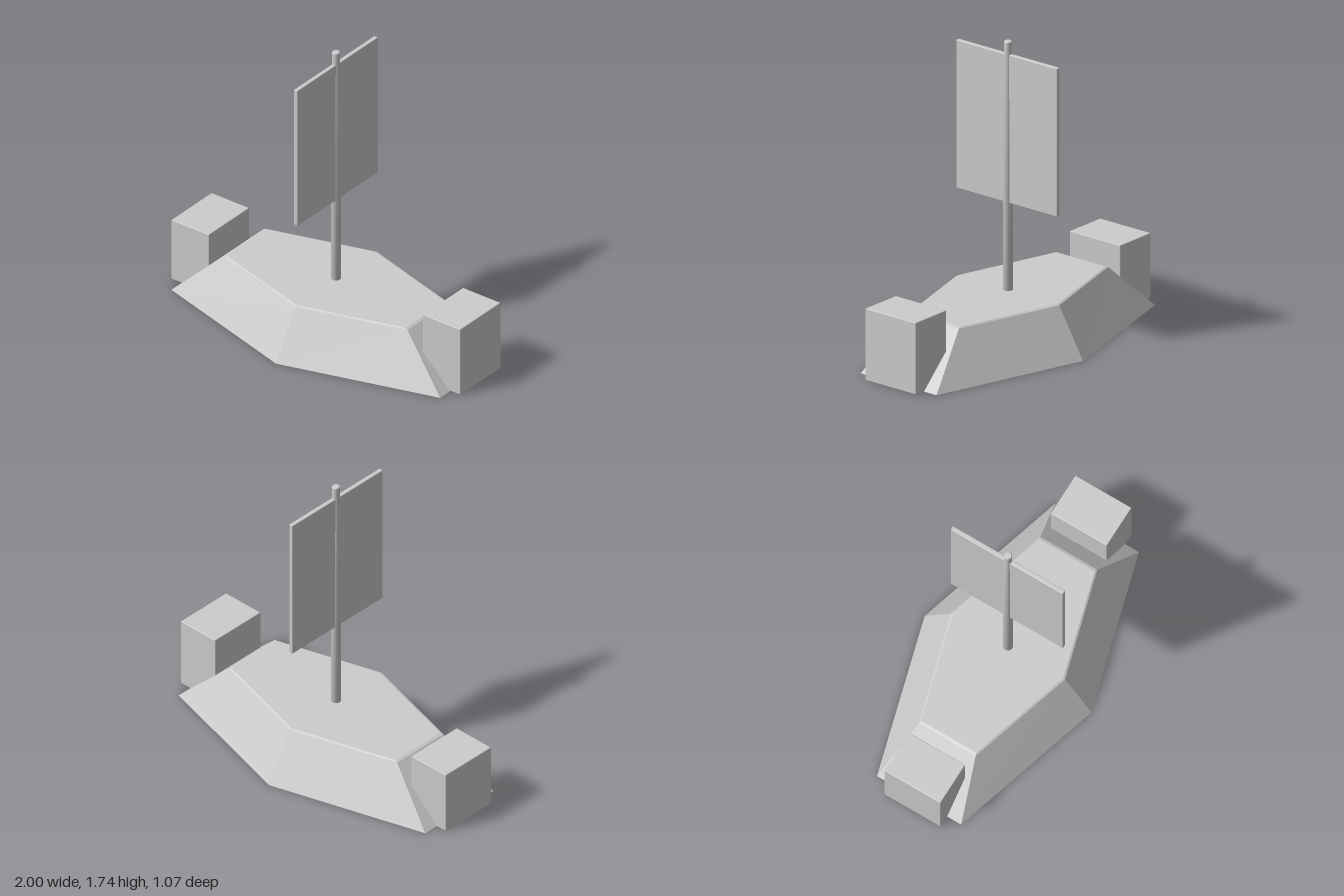
import * as THREE from 'three';
import { toCreasedNormals } from 'three/addons/utils/BufferGeometryUtils.js';
import { RoundedBoxGeometry } from 'three/addons/geometries/RoundedBoxGeometry.js';

// Hull lofted through hexagonal rings: [height, end x, end z, middle z]
function hullGeometry() {
  const rings = [
    [0, 0.93, 0.27, 0.535],
    [0.284, 0.636, 0.183, 0.366],
    [0.29, 0.62, 0.178, 0.354],
  ].map(([y, x, ze, zm]) => [
    [x, y, ze], [x, y, -ze], [0, y, -zm], [-x, y, -ze], [-x, y, ze], [0, y, zm],
  ]);
  const pos = [];
  const tri = (a, b, c) => pos.push(...a, ...b, ...c);
  for (let r = 0; r < rings.length - 1; r++) {
    const lo = rings[r], hi = rings[r + 1];
    for (let i = 0; i < 6; i++) {
      const j = (i + 1) % 6;
      tri(lo[i], lo[j], hi[j]);
      tri(lo[i], hi[j], hi[i]);
    }
  }
  // Deck and flat bottom
  const top = rings[rings.length - 1], bottom = rings[0];
  for (let i = 1; i < 5; i++) {
    tri(top[0], top[i], top[i + 1]);
    tri(bottom[0], bottom[i + 1], bottom[i]);
  }
  const g = new THREE.BufferGeometry();
  g.setAttribute('position', new THREE.Float32BufferAttribute(pos, 3));
  g.computeVertexNormals();
  return g;
}

export function createModel() {
  const model = new THREE.Group();
  model.name = 'sailboat';
  const grey = new THREE.MeshStandardMaterial({ color: 0xcccccc });
  grey.name = 'light grey';

  const add = (name, geometry, x = 0, y = 0, z = 0) => {
    const mesh = new THREE.Mesh(geometry, grey);
    mesh.name = name;
    mesh.position.set(x, y, z);
    model.add(mesh);
  };
  const box = (w, h, d, bevel) => new RoundedBoxGeometry(w, h, d, 2, bevel);

  add('hull', hullGeometry());

  // End blocks, the left one slightly taller
  add('leftBlock', box(0.26, 0.42, 0.36, 0.005), 0.87, 0.21);
  add('rightBlock', box(0.26, 0.38, 0.36, 0.005), -0.87, 0.19);

  // Tapered mast with small chamfers
  const profile = [
    [0, 0.287], [0.024, 0.287], [0.028, 0.295], [0.023, 1.735], [0.019, 1.74], [0, 1.74],
  ].map(([r, y]) => new THREE.Vector2(r, y));
  add('mast', toCreasedNormals(new THREE.LatheGeometry(profile, 16), 0.6));

  // Square sail panel
  add('sail', box(0.026, 0.865, 0.72, 0.005), 0, 1.2325);

  return model;
}
